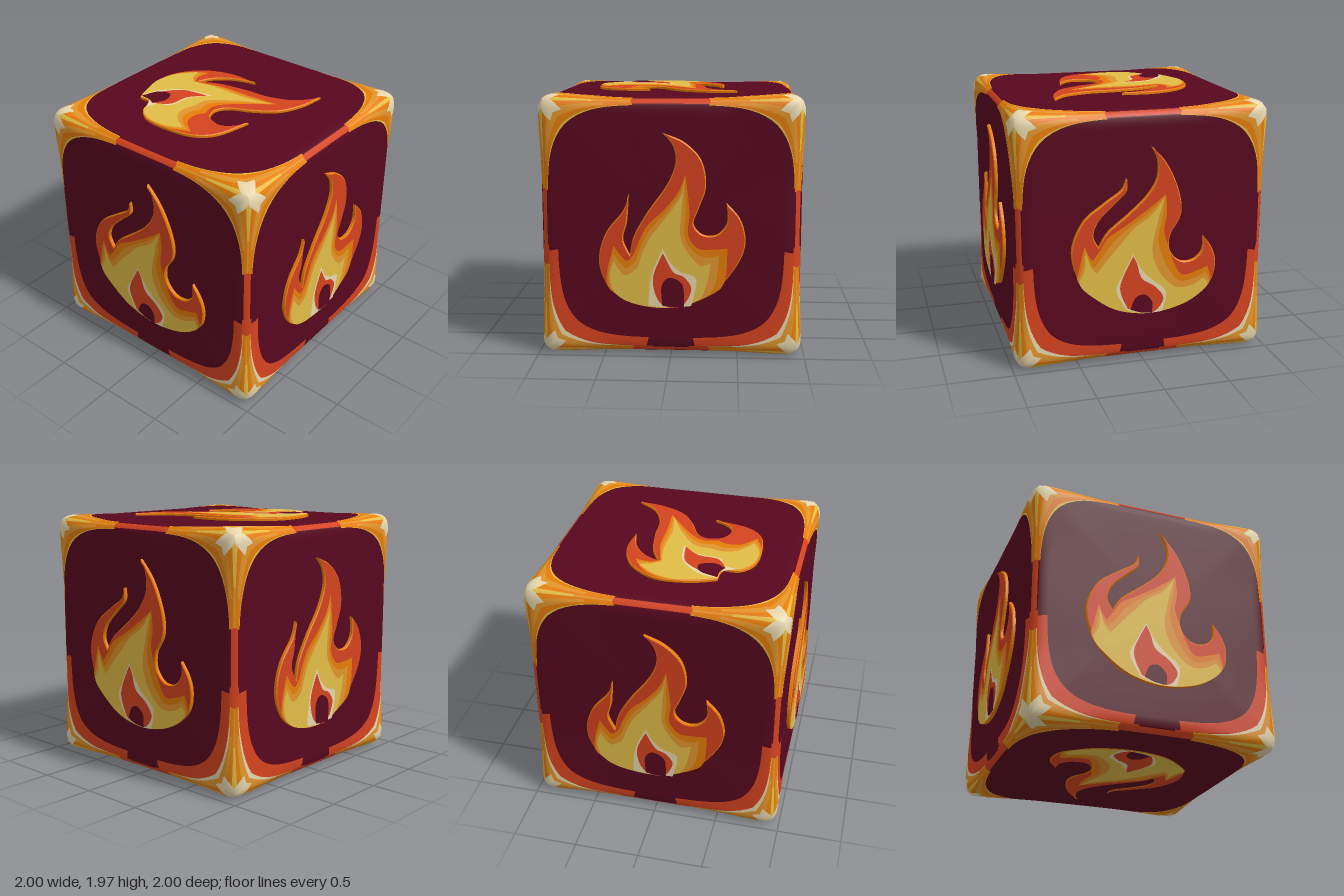
import * as THREE from 'three';

const mat = (name, color) => {
  const m = new THREE.MeshStandardMaterial({ color });
  m.name = name;
  return m;
};

// Each outline is a list of curves [x,y, x,y ...]; curves meet at sharp points.
// Orange and yellow share their point layout, so amber can be blended between them.
const FLAMES = {
  tall: {
    oy: 0.99,
    outline: [
      [-.14,1.46, -.18,1.37, -.31,1.28, -.47,1.15, -.555,.94, -.51,.72, -.39,.56, -.2,.44, .06,.395, .33,.45, .52,.59, .565,.74, .535,.87],
      [.46,.975, .455,.86, .385,.79, .28,.79, .2,.88, .2,1, .27,1.12, .285,1.23, .245,1.39, .16,1.56],
      [.045,1.69, .095,1.58, .09,1.44, .01,1.31, -.12,1.19, -.28,1.06],
      [-.35,.95, -.39,1.04, -.35,1.15, -.23,1.27, -.14,1.36]],
    orange: [
      [.16,1.32, .03,1.22, -.15,1.1, -.28,1.02, -.34,.93], [-.4,.85, -.43,.9],
      [-.46,.97, -.5,.8, -.51,.7, -.39,.56, -.2,.44, .06,.395, .33,.45, .52,.59],
      [.5,.73, .42,.7, .3,.68, .23,.78, .19,.9, .15,1.04, .17,1.17]],
    yellow: [
      [.15,1.3, .05,1.17, -.08,1.08, -.18,.97, -.27,.87], [-.37,.75, -.42,.82],
      [-.45,.93, -.46,.78, -.5,.68, -.39,.56, -.2,.44, .06,.395, .33,.45, .5,.57],
      [.47,.64, .38,.59, .27,.58, .18,.64, .1,.75, .06,.9, .1,1.12]],
    cream: [[-.09,.88, -.17,.72, -.22,.6], [-.14,.44, 0,.4], [.14,.4, .17,.56, .04,.68, -.04,.78]],
    red: [[-.09,.86, -.19,.63], [-.13,.45, .06,.4, .15,.5, .09,.6, -.02,.68, -.06,.8]],
    maroon: [[-.11,.44, -.07,.53, 0,.55, .06,.49], [.06,.4, -.03,.41]],
  },
  forked: {
    oy: 0.99,
    outline: [
      [-.305,1.245, -.35,1.12, -.475,.96, -.53,.775, -.5,.615, -.405,.49, -.245,.415, .02,.395, .29,.49, .475,.695, .55,.88, .515,1.06],
      [.41,1.185, .415,1.04, .34,.95, .235,.95, .17,1.03, .21,1.15, .26,1.31, .225,1.5, .1,1.63],
      [-.055,1.695, .02,1.6, .035,1.47, -.03,1.31, -.165,1.12, -.27,.935],
      [-.3,.79, -.35,.91, -.32,1.04]],
    orange: [
      [.11,1.4, .06,1.27, -.05,1.13, -.18,1], [-.27,.8, -.33,.75],
      [-.42,.86, -.47,.66, -.45,.53, -.245,.415, .02,.395, .29,.49, .4,.6],
      [.42,.85, .3,.84, .2,.85, .13,.95, .14,1.12]],
    yellow: [
      [.105,1.36, .075,1.23, -.03,1.08, -.165,.9], [-.245,.695, -.34,.64],
      [-.42,.74, -.45,.62, -.4,.49, -.245,.415, .02,.395, .2,.45, .26,.55],
      [.3,.74, .22,.72, .14,.8, .075,.93, .08,1.12]],
    cream: [[-.055,.845, -.14,.64], [-.165,.41, 0,.395], [.155,.41, .19,.615, .075,.67, 0,.74]],
    red: [[-.055,.81, -.13,.615, -.075,.43, .075,.4, .155,.535, .1,.63, .02,.67]],
    maroon: [[-.06,.41, -.065,.56, -.005,.625, .09,.57], [.1,.4, .02,.4]],
  },
  swept: {
    oy: 0,
    outline: [
      [0,.37, -.24,.38, -.455,.3, -.59,.155, -.64,0, -.615,-.22], [-.55,-.39, -.46,-.39],
      [-.4,-.405, -.395,-.525, -.27,-.62, -.055,-.635, .16,-.595, .295,-.46],
      [.36,-.19, .305,-.29, .215,-.35, .09,-.31, .045,-.2, .105,-.1, .27,-.02, .43,.1, .52,.29],
      [.55,.485, .43,.33, .24,.245, .025,.225, -.215,.18],
      [-.375,.1, -.32,.21, -.19,.315]],
    orange: [
      [.36,.17, .12,.15, -.15,.14], [-.38,.08, -.42,.15],
      [-.4,.27, -.56,.16, -.635,0, -.61,-.22], [-.55,-.39, -.46,-.39],
      [-.4,-.405, -.395,-.525, -.27,-.62, -.055,-.63], [.12,-.57, 0,-.47, -.02,-.36],
      [.02,-.28, 0,-.16, .1,-.03]],
    yellow: [
      [.32,.14, .08,.1, -.19,.1], [-.4,.065, -.45,.13],
      [-.48,.22, -.59,.08, -.635,-.085, -.6,-.25], [-.55,-.39, -.46,-.39],
      [-.4,-.405, -.39,-.52, -.27,-.61, -.1,-.62], [.03,-.56, -.1,-.47, -.15,-.36],
      [-.12,-.24, -.1,-.12, .08,.02]],
    cream: [[-.12,-.04, -.35,-.085, -.51,-.235], [-.55,-.39, -.46,-.39], [-.395,-.5, -.36,-.4, -.265,-.35, -.23,-.165]],
    red: [[-.145,-.06, -.35,-.1, -.465,-.22], [-.545,-.38, -.46,-.39], [-.4,-.42, -.28,-.34, -.25,-.18]],
    maroon: [[-.545,-.385, -.49,-.245, -.39,-.22, -.35,-.325], [-.4,-.415, -.46,-.39]],
  },
};
for (const f of Object.values(FLAMES)) {
  f.amber = f.orange.map((c, k) => c.map((v, i) => (v + f.yellow[k][i]) / 2));
}

function makeShape(curves, oy) {
  const point = (c, i) => new THREE.Vector2(c[i], c[i + 1] - oy);
  const shape = new THREE.Shape();
  shape.moveTo(curves[0][0], curves[0][1] - oy);
  curves.forEach((c, k) => {
    const pts = [];
    for (let i = 2; i < c.length; i += 2) pts.push(point(c, i));
    pts.push(point(curves[(k + 1) % curves.length], 0));
    shape.splineThru(pts);
  });
  return shape;
}

// Raised flame with thin coloured layers on top
function makeFlame(design, top, mats) {
  const g = new THREE.Group();
  g.name = 'flame';
  const floor = 0.93, bevel = 0.006;
  const base = new THREE.Mesh(new THREE.ExtrudeGeometry(makeShape(design.outline, design.oy), {
    depth: top - floor - bevel, curveSegments: 5, bevelEnabled: true,
    bevelThickness: bevel, bevelSize: 0.008, bevelOffset: -0.008, bevelSegments: 1,
  }), [mats.red, mats.orange]);
  base.name = 'flameBase';
  base.position.z = floor;
  g.add(base);
  ['orange', 'amber', 'yellow', 'cream', 'red', 'maroon'].forEach((key, i) => {
    const layer = new THREE.Mesh(new THREE.ShapeGeometry(makeShape(design[key], design.oy), 5), mats[key]);
    layer.name = key + 'FlameLayer';
    layer.position.z = top + 0.0015 * (i + 1);
    g.add(layer);
  });
  return g;
}

// Cube point to body: soft edges, swelling a little towards the corners
function bodyPoint(x, y) {
  const k = THREE.MathUtils.smoothstep(Math.min(Math.abs(x), Math.abs(y)), 0.35, 0.95);
  const h = 0.963 + 0.014 * k, r = 0.1;
  const p = new THREE.Vector3(x, y, 1).multiplyScalar(h);
  const inner = p.clone().clampScalar(r - h, h - r);
  return p.sub(inner).setLength(r).add(inner);
}

// Colour by ring (below 1: panel, 1 to 2: border) and e (0 at corner, 1 at mid edge)
function colourAt(ring, e, low) {
  const t = ring - 1;
  if (t < 0) return low && ring > 0.91 && e < 0.72 ? 'red' : 'maroon';
  if (e > 0.6) return t < 0.25 && !(low && e < 0.8) ? 'maroon' : 'red';
  if (low) {
    if (t < 0.12) return 'red';
    if (t < 0.26) return e < 0.45 ? 'cream' : 'yellow';
  } else if (t < 0.08) return 'yellow';
  if (e < 0.07 && t > 0.45) return 'cream';
  if (t > 0.8) return e < 0.3 ? 'yellow' : 'amber';
  return e < 0.35 && t > 0.25 && t < 0.55 ? 'amber' : 'orange';
}

// One side of the cube: rounded panel in the middle, gold corners around it
function makeSide(hasLowGlow, mats) {
  const rings = [0, .4, .75, .87, .92, .96, 1, 1.06, 1.12, 1.18, 1.25, 1.4, 1.55, 1.7, 1.82, 1.91, 2];
  const N = 128, pos = [], buckets = {};
  for (const s of rings) {
    for (let j = 0; j < N; j++) {
      const a = j / N * Math.PI * 2, c = Math.cos(a), d = Math.sin(a);
      const panel = 0.945 / Math.pow(Math.abs(c) ** 3.8 + Math.abs(d) ** 3.8, 1 / 3.8);
      const square = 1 / Math.max(Math.abs(c), Math.abs(d));
      const rad = s <= 1 ? panel * s : THREE.MathUtils.lerp(panel, square, s - 1);
      pos.push(...bodyPoint(c * rad, d * rad).toArray());
    }
  }
  for (let i = 0; i < rings.length - 1; i++) {
    for (let j = 0; j < N; j++) {
      const turn = (j + 0.5) / N * 4;
      const e = Math.abs((turn % 1) - 0.5) * 2;
      const key = colourAt((rings[i] + rings[i + 1]) / 2, e, hasLowGlow && turn > 2);
      const a = i * N + j, d = i * N + (j + 1) % N;
      const list = (buckets[key] ??= []);
      list.push(a, a + N, d + N);
      if (i > 0) list.push(a, d + N, d);
    }
  }
  const geo = new THREE.BufferGeometry();
  geo.setAttribute('position', new THREE.Float32BufferAttribute(pos, 3));
  const index = [], used = [];
  for (const key in buckets) {
    geo.addGroup(index.length, buckets[key].length, used.length);
    index.push(...buckets[key]);
    used.push(mats[key]);
  }
  geo.setIndex(index);
  geo.computeVertexNormals();
  const mesh = new THREE.Mesh(geo, used);
  mesh.name = 'cubeSide';
  return mesh;
}

export function createModel() {
  const mats = {
    maroon: mat('maroon', 0x58071f),
    red: mat('flame red', 0xd5431f),
    orange: mat('orange', 0xe67d08),
    amber: mat('amber', 0xe3952c),
    yellow: mat('yellow gold', 0xe2bd46),
    cream: mat('cream', 0xe9d9b0),
  };
  const model = new THREE.Group();
  model.name = 'flameCube';
  const H = Math.PI / 2;
  // name, flame design, flame height, x turn, y turn, red glow on lower rim
  const sides = [
    ['front', 'tall', 0.99, 0, 0, true],
    ['back', 'tall', 0.99, 0, 2 * H, true],
    ['left', 'forked', 0.99, 0, H, true],
    ['right', 'forked', 0.99, 0, -H, true],
    ['top', 'swept', 0.985, -H, 0, false],
    ['bottom', 'tall', 0.968, H, 2 * H, false],
  ];
  for (const [name, design, top, rx, ry, glow] of sides) {
    const side = new THREE.Group();
    side.name = name + 'Side';
    side.add(makeSide(glow, mats), makeFlame(FLAMES[design], top, mats));
    side.rotation.set(rx, ry, 0, 'YXZ');
    side.position.y = 0.99;
    model.add(side);
  }
  return model;
}
